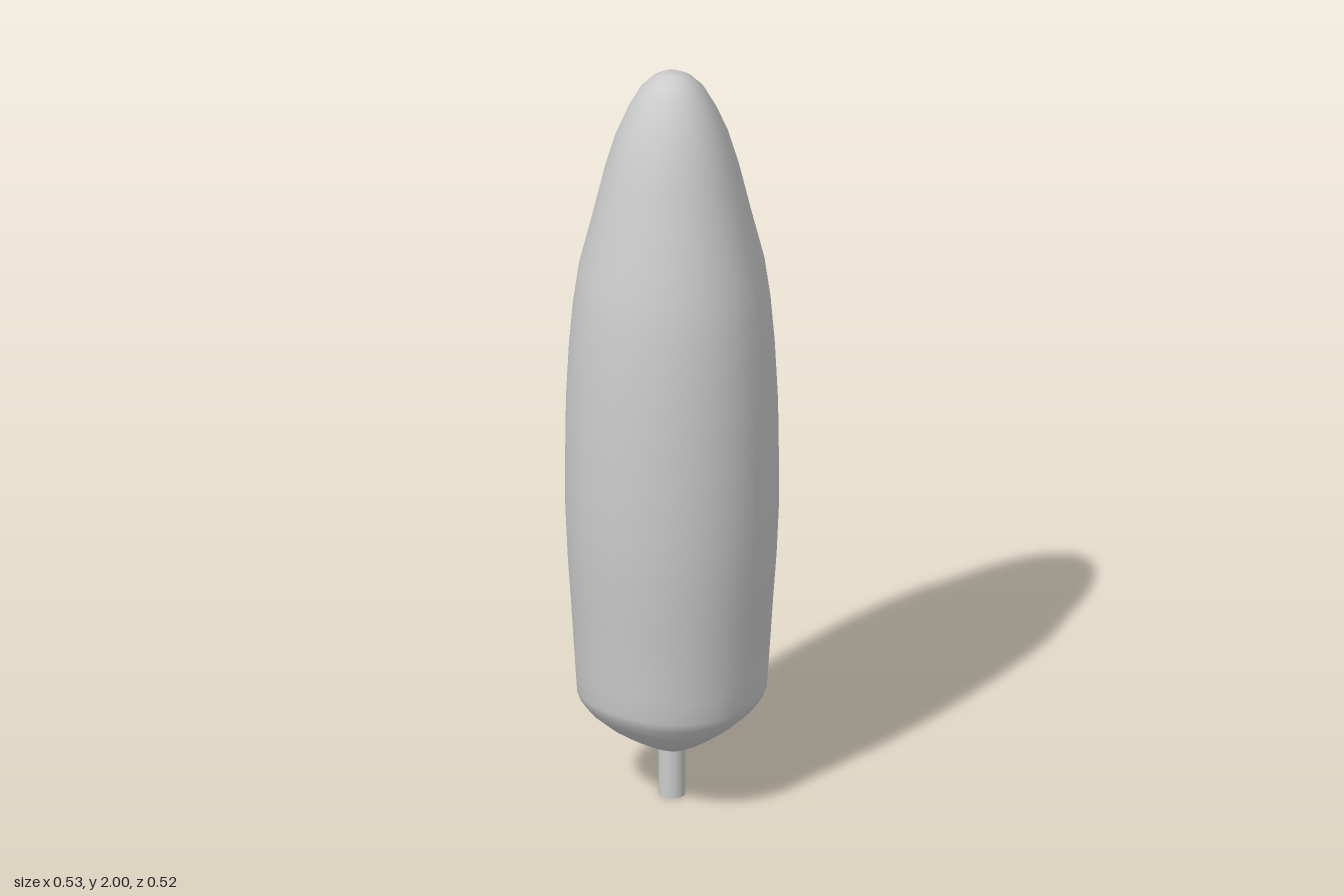
import * as THREE from 'three';

export function createModel() {
  const group = new THREE.Group();
  const material = new THREE.MeshStandardMaterial({ color: 0xcccccc });

  // Foliage: a lathed column, [radius, height] from bottom to tip
  const profile = [
    [0, 0.135], [0.035, 0.138], [0.075, 0.153], [0.115, 0.178], [0.155, 0.207],
    [0.193, 0.243], [0.217, 0.275], [0.226, 0.3], [0.23, 0.36], [0.236, 0.44],
    [0.245, 0.55], [0.256, 0.67], [0.263, 0.8], [0.263, 0.95], [0.261, 1.1],
    [0.254, 1.24], [0.244, 1.36], [0.229, 1.47], [0.195, 1.61], [0.165, 1.74],
    [0.139, 1.83], [0.11, 1.9], [0.08, 1.955], [0.053, 1.983], [0.028, 1.997], [0, 2],
  ].map(([r, y]) => new THREE.Vector2(r, y));
  const foliageGeometry = new THREE.LatheGeometry(profile, 32);

  // Make the section slightly square, more so near the base
  const pos = foliageGeometry.attributes.position;
  for (let i = 0; i < pos.count; i++) {
    const x = pos.getX(i), y = pos.getY(i), z = pos.getZ(i);
    const amount = THREE.MathUtils.lerp(0.036, 0.016, THREE.MathUtils.smoothstep(y, 0.3, 0.8));
    const k = 1 + amount * (1 - Math.cos(4 * Math.atan2(z, x)));
    pos.setXYZ(i, x * k, y, z * k * 0.99);
  }
  const foliage = new THREE.Mesh(foliageGeometry, material);
  foliage.name = 'foliage';
  group.add(foliage);

  // Trunk
  const trunk = new THREE.Mesh(new THREE.CylinderGeometry(0.034, 0.034, 0.18, 16), material);
  trunk.position.y = 0.09;
  trunk.name = 'trunk';
  group.add(trunk);

  return group;
}
